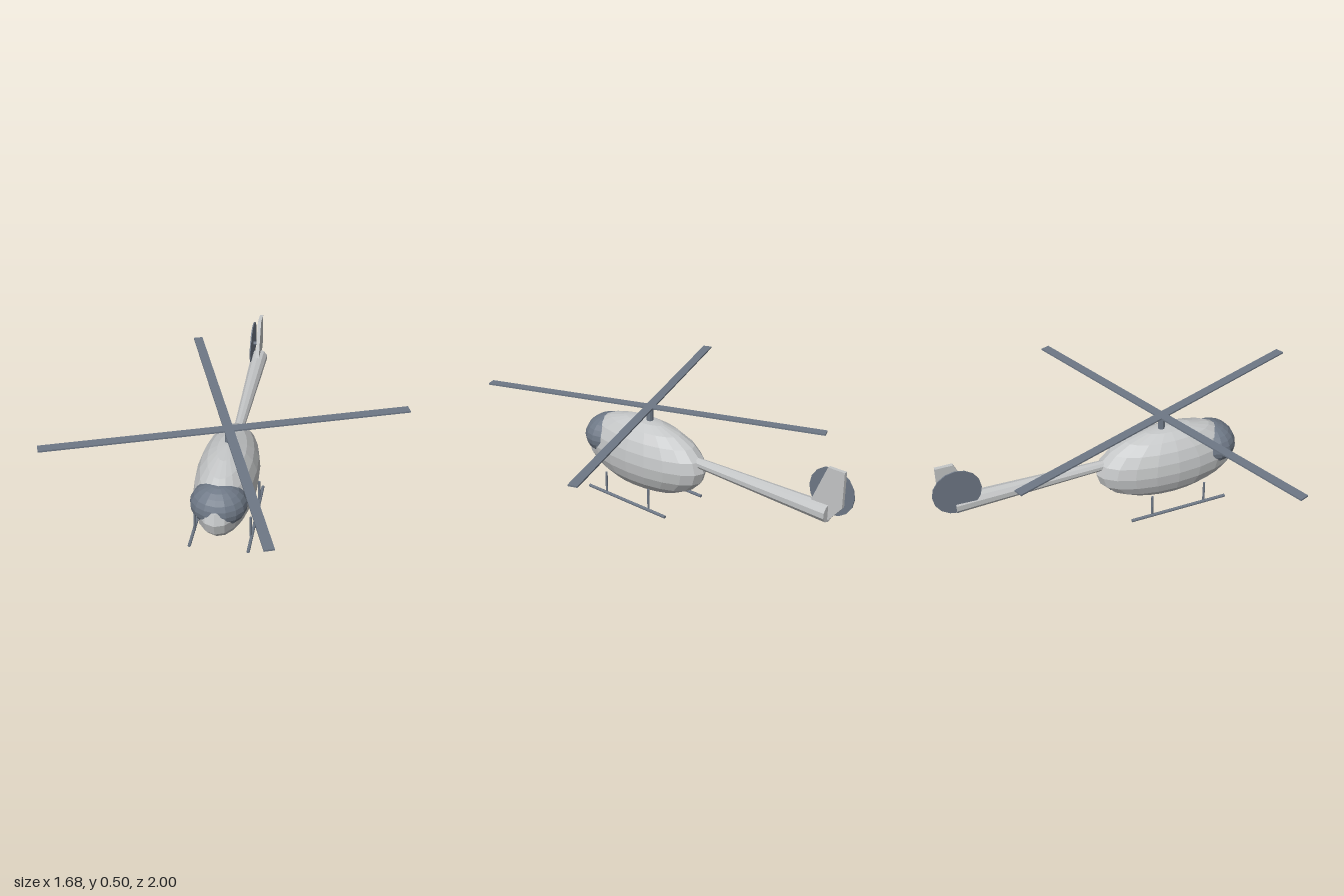
import * as THREE from 'three';

export function createModel() {
  const root = new THREE.Group();
  root.name = 'helicopter';
  const shell = new THREE.MeshStandardMaterial({ color: 0xc4c6c7 });
  shell.name = 'light grey';
  const slate = new THREE.MeshStandardMaterial({ color: 0x6e7886 });
  slate.name = 'slate blue grey';

  // Faceted mesh helper
  function add(name, geometry, material, x = 0, y = 0, z = 0, parent = root) {
    const flat = geometry.index ? geometry.toNonIndexed() : geometry;
    flat.computeVertexNormals();
    const mesh = new THREE.Mesh(flat, material);
    mesh.name = name;
    mesh.position.set(x, y, z);
    parent.add(mesh);
    return mesh;
  }
  const ellipsoid = (rx, ry, rz, cols, rows) =>
    new THREE.SphereGeometry(1, cols, rows).scale(rx, ry, rz);
  const rod = (r0, r1, length, sides) => new THREE.CylinderGeometry(r0, r1, length, sides);

  // Cabin, with the canopy swelling out through its nose
  add('cabin', ellipsoid(0.15, 0.19, 0.38, 20, 10), shell, 0, 0.235, 0.195);
  add('canopy', ellipsoid(0.134, 0.104, 0.12, 16, 12), slate, 0, 0.27, 0.437);

  // Tail boom, widening towards the back
  add('tailBoom', rod(0.024, 0.045, 0.795, 10).rotateX(Math.PI / 2 - 0.006), shell, 0, 0.282, -0.4975);

  // Tail fin, drawn in z and y then given thickness along x
  const finShape = new THREE.Shape([
    [-0.8, 0.31], [-0.88, 0.505], [-0.965, 0.505],
    [-0.965, 0.33], [-0.9, 0.25], [-0.85, 0.25],
  ].map(([z, y]) => new THREE.Vector2(-z, y)));
  const fin = new THREE.ExtrudeGeometry(finShape, { depth: 0.018, bevelEnabled: false });
  add('tailFin', fin.translate(0, 0, -0.009).rotateY(Math.PI / 2), shell);

  // Tail rotor disc and its axle
  add('tailRotor', rod(0.117, 0.117, 0.006, 16).rotateZ(Math.PI / 2), slate, -0.034, 0.37, -0.883);
  add('tailRotorAxle', rod(0.01, 0.01, 0.03, 8).rotateZ(Math.PI / 2), slate, -0.02, 0.37, -0.883);

  // Mast and main rotor
  add('mast', rod(0.018, 0.018, 0.1, 8), slate, 0, 0.445, 0.16);
  const rotor = new THREE.Group();
  rotor.name = 'mainRotor';
  rotor.position.set(0, 0.493, 0.16);
  rotor.rotation.y = THREE.MathUtils.degToRad(20);
  root.add(rotor);
  add('bladePair', new THREE.BoxGeometry(1.77, 0.008, 0.046), slate, 0, 0, 0, rotor);
  add('crossBladePair', new THREE.BoxGeometry(0.046, 0.008, 1.77), slate, 0, 0, 0, rotor);

  // Landing skids, mirrored
  for (const side of [1, -1]) {
    const skid = new THREE.Group();
    skid.name = side > 0 ? 'leftSkid' : 'rightSkid';
    root.add(skid);
    add('rail', rod(0.008, 0.008, 0.515, 8).rotateX(Math.PI / 2), slate, side * 0.141, 0.008, 0.2, skid);
    for (const z of [0.34, 0.055])
      add('strut', rod(0.006, 0.006, 0.114, 8), slate, side * 0.136, 0.065, z, skid);
  }
  return root;
}
